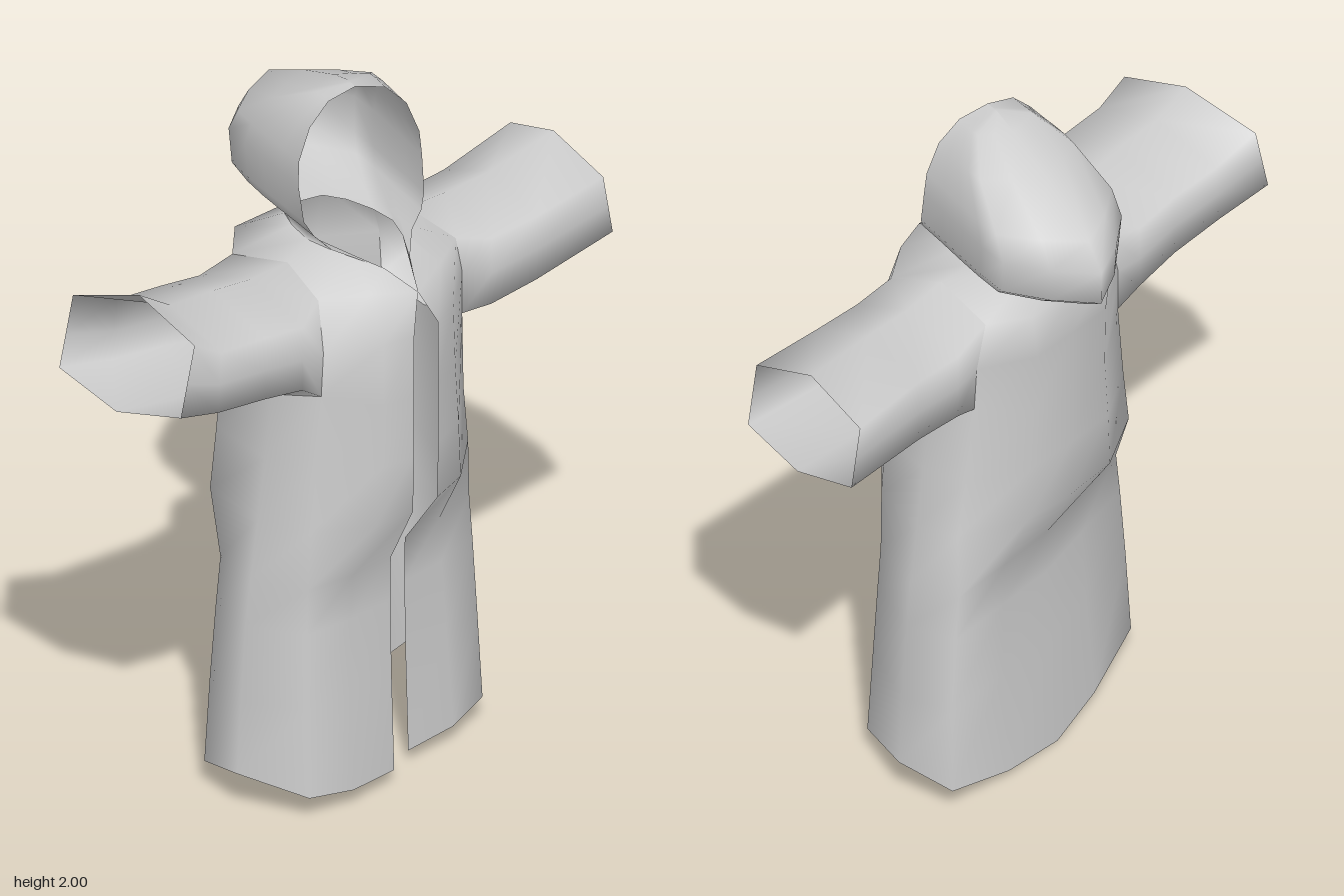
import * as THREE from 'three';

const material = new THREE.MeshStandardMaterial({ color: 0xcccccc, side: THREE.DoubleSide });
const lerp = THREE.MathUtils.lerp;

// Smooth sheet through rows of points; skip(row, column) leaves a hole.
function sheet(name, rows, { closed = false, flip = false, skip = () => false } = {}) {
  const n = rows[0].length;
  const index = [];
  for (let r = 0; r < rows.length - 1; r++) {
    for (let c = 0; c < (closed ? n : n - 1); c++) {
      if (skip(r, c)) continue;
      const a = r * n + c, b = r * n + (c + 1) % n;
      const quad = [a, b, b + n, a, b + n, a + n];
      index.push(...(flip ? quad.reverse() : quad));
    }
  }
  const geometry = new THREE.BufferGeometry();
  geometry.setAttribute('position', new THREE.Float32BufferAttribute(rows.flat(2), 3));
  geometry.setIndex(index);
  geometry.computeVertexNormals();
  const mesh = new THREE.Mesh(geometry, material);
  mesh.name = name;
  return mesh;
}

const mirrorPoint = ([x, y, z]) => [-x, y, z];

// Half row (front edge round to the centre back) completed by mirroring.
const fullRow = (half) => [...half, ...half.slice(0, -1).reverse().map(mirrorPoint)];

// The robe hangs slightly turned: the right side swings forward, the left back.
const twist = ([x, y, z]) => {
  const skirt = y < 0.75;
  if (skirt && x < 0 && z > 0.2) return [x, y, z + 0.045];
  const turned = skirt || (z > 0.05 && y < 1.45);
  return [x, y, turned ? z - 0.13 * x : z];
};

// Robe section: front edge, front panel, front corner, side, back corner, back panel, centre back.
function section(y, w, corner, zEdge, zFront, zCorner, zBackCorner, zBackPanel, zBack) {
  return [
    [0.05, y, zEdge], [0.47 * w, y, zFront], [corner * w, y, zCorner], [w, y, 0.09],
    [0.92 * w, y, zBackCorner], [0.44 * w, y, zBackPanel], [0, y, zBack],
  ];
}

// Eight-sided sleeve section, starting low at the front and going over the top;
// skew pushes the back of the section further out than the front.
function sleeveRing(xTop, xBottom, yTop, yBottom, zFront, zBack, skew = 0) {
  const heights = [0.16, 0.45, 0.78, 1, 0.78, 0.45, 0.16, 0];
  const depths = [0, 0, 0, 0.5, 1, 1, 1, 0.5];
  return heights.map((h, i) => [
    lerp(xBottom, xTop, h) + skew * (depths[i] - 0.5),
    lerp(yBottom, yTop, h),
    lerp(zFront, zBack, depths[i]),
  ]);
}

// Horseshoe section of the hood, turned a little to one side.
function hoodRow([y, halfWidth, zFront, zBack]) {
  const spread = [1, 1.01, 1.03, 1.04, 1.02, 0.56, 0];
  const along = [0, 0.17, 0.34, 0.5, 0.67, 0.85, 1];
  const point = (i, side) => {
    const w = lerp(zFront, zBack, along[i]);
    const u = side * spread[i] * halfWidth;
    return [(0.13 - w) * 0.25 + u * 0.96, y, w + u * 0.27];
  };
  return [
    ...spread.map((_, i) => point(i, 1)),
    ...[5, 4, 3, 2, 1, 0].map((i) => point(i, -1)),
  ];
}

export function createModel() {
  const model = new THREE.Group();
  model.name = 'hoodedRobe';

  // Robe, from the curved hem up to the neck; chest and back stand out as narrow panels
  const hemShift = [-0.035, -0.025, -0.005, 0.04, 0.0, -0.055, -0.075];
  const hem = section(0.08, 0.46, 0.78, 0.275, 0.295, 0.275, -0.07, -0.105, -0.125)
    .map(([x, y, z], i) => [x, y + hemShift[i], z]);
  const underarm = section(1.2, 0.315, 0.93, 0.39, 0.365, 0.258, -0.085, -0.17, -0.175);
  underarm[2][1] = underarm[4][1] = 1.25;
  const chest = section(1.38, 0.31, 0.93, 0.39, 0.36, 0.262, -0.09, -0.175, -0.175);
  const shoulder = [
    [0, 1.48, 0.358], [0.13, 1.5, 0.31], [0.25, 1.5, 0.24], [0.22, 1.545, 0.09],
    [0.25, 1.51, -0.09], [0.16, 1.525, -0.175], [0, 1.525, -0.175],
  ];
  const neck = [
    [0.045, 1.535, 0.28], [0.085, 1.56, 0.21], [0.115, 1.565, 0.14], [0.12, 1.565, 0.06],
    [0.1, 1.57, -0.02], [0.07, 1.57, -0.08], [0, 1.57, -0.1],
  ];
  const robe = [
    hem,
    section(0.33, 0.447, 0.79, 0.265, 0.275, 0.26, -0.06, -0.08, -0.1),
    section(0.55, 0.425, 0.81, 0.26, 0.265, 0.25, -0.055, -0.072, -0.088),
    section(0.68, 0.405, 0.83, 0.262, 0.265, 0.245, -0.055, -0.075, -0.088),
    section(0.85, 0.375, 0.87, 0.385, 0.36, 0.25, -0.075, -0.165, -0.175),
    section(1.02, 0.345, 0.89, 0.39, 0.365, 0.25, -0.08, -0.17, -0.175),
    underarm, chest, shoulder, neck,
  ].map((half) => fullRow(half).map(twist));
  const armhole = (r, c) => (r === 6 || r === 7) && [2, 3, 8, 9].includes(c);
  model.add(sheet('robe', robe, { skip: armhole }));

  // Sleeves, growing out of the armholes (columns: front corner, side, back corner)
  const armRoot = (front, side, back) => [
    robe[6][front], robe[7][front], robe[8][front], robe[8][side],
    robe[8][back], robe[7][back], robe[6][back], robe[6][side],
  ];
  const leftSleeve = [
    armRoot(2, 3, 4),
    sleeveRing(0.36, 0.36, 1.535, 1.22, 0.262, -0.09),
    sleeveRing(0.52, 0.52, 1.54, 1.235, 0.265, -0.09),
    sleeveRing(0.77, 0.825, 1.56, 1.275, 0.262, -0.125, 0.03),
  ];
  const rightSleeve = [
    armRoot(10, 9, 8),
    ...[
      sleeveRing(0.36, 0.36, 1.55, 1.245, 0.295, -0.1),
      sleeveRing(0.5, 0.5, 1.57, 1.275, 0.3, -0.1),
      sleeveRing(0.65, 0.67, 1.58, 1.297, 0.295, -0.11),
      sleeveRing(0.75, 0.83, 1.642, 1.32, 0.288, -0.135, 0.04),
    ].map((ring) => ring.map(mirrorPoint)),
  ];
  model.add(sheet('leftSleeve', leftSleeve, { closed: true, flip: true }));
  model.add(sheet('rightSleeve', rightSleeve, { closed: true }));

  // Hood: height, half width, front z, back z
  const hood = [
    [1.58, 0.12, 0.2, -0.16], [1.62, 0.16, 0.18, -0.33], [1.66, 0.18, 0.16, -0.39],
    [1.76, 0.185, 0.14, -0.392], [1.83, 0.18, 0.135, -0.335], [1.92, 0.145, 0.13, -0.15],
    [1.98, 0.085, 0.122, 0.0], [2.0, 0, 0.115, 0.07],
  ].map(hoodRow);
  model.add(sheet('hood', [fullRow(neck), ...hood]));

  // Centre the depth on z = 0
  const box = new THREE.Box3().setFromObject(model);
  model.position.z = -(box.min.z + box.max.z) / 2;
  return model;
}
